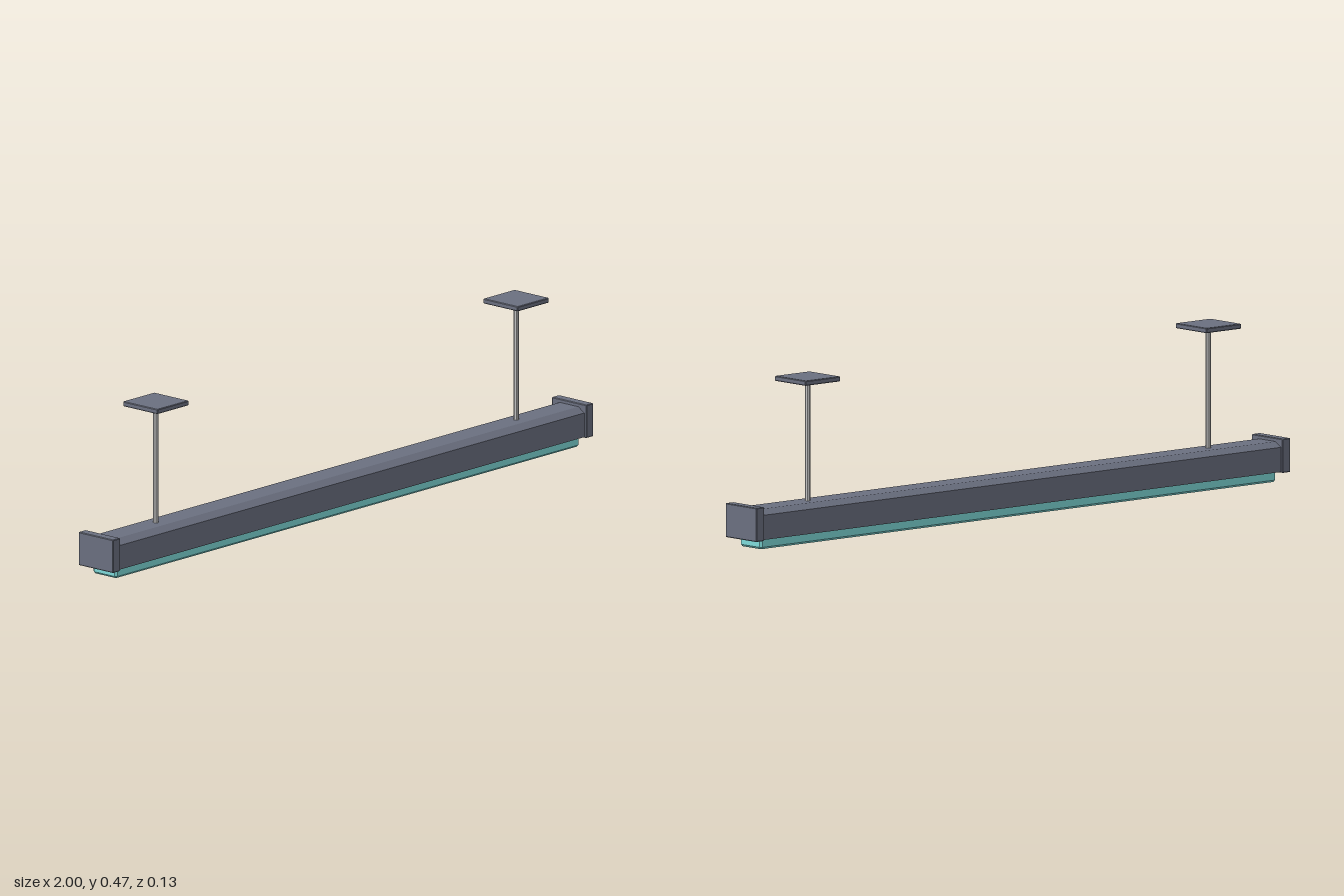
import * as THREE from 'three';
import { ConvexGeometry } from 'three/addons/geometries/ConvexGeometry.js';

const slate = new THREE.MeshStandardMaterial({ color: 0x6b7080, flatShading: true });
const teal = new THREE.MeshStandardMaterial({ color: 0x7fdbda, flatShading: true });
const grey = new THREE.MeshStandardMaterial({ color: 0xcccccc, flatShading: true });

// Box with every edge chamfered by c
function chamferBox(w, h, d, c) {
  const points = [];
  for (const x of [-w / 2, w / 2])
    for (const y of [-h / 2, h / 2])
      for (const z of [-d / 2, d / 2]) {
        const ix = x - Math.sign(x) * c, iy = y - Math.sign(y) * c, iz = z - Math.sign(z) * c;
        points.push(
          new THREE.Vector3(x, iy, iz),
          new THREE.Vector3(ix, y, iz),
          new THREE.Vector3(ix, iy, z)
        );
      }
  return new ConvexGeometry(points);
}

export function createModel() {
  const model = new THREE.Group();
  model.name = 'linearPendantLight';

  function add(name, geometry, material, x, y, z = 0) {
    const mesh = new THREE.Mesh(geometry, material);
    mesh.name = name;
    mesh.position.set(x, y, z);
    model.add(mesh);
  }

  // Long housing: a rectangle with sloped top shoulders, extruded along x
  const profile = new THREE.Shape([
    [-0.058, 0.029], [0.058, 0.029], [0.058, 0.099],
    [0.035, 0.113], [-0.035, 0.113], [-0.058, 0.099],
  ].map(([z, y]) => new THREE.Vector2(z, y)));
  const length = 1.95;
  const housing = new THREE.ExtrudeGeometry(profile, { depth: length, bevelEnabled: false });
  housing.translate(0, 0, -length / 2).rotateY(Math.PI / 2);
  add('housing', housing, slate, 0, 0);

  // Light diffuser, its top sunk into the housing
  add('diffuser', chamferBox(1.93, 0.04, 0.09, 0.006), teal, 0, 0.02);

  // End caps and hanging mounts, mirrored left and right
  for (const [side, s] of [['left', 1], ['right', -1]]) {
    add(side + 'EndCap', chamferBox(0.03, 0.096, 0.131, 0.002), slate, s * 0.985, 0.075);
    add(side + 'Rod', new THREE.CylinderGeometry(0.0075, 0.0075, 0.35, 8), grey, s * 0.75, 0.28);
    add(side + 'CeilingPlate', chamferBox(0.131, 0.014, 0.131, 0.002), slate, s * 0.75, 0.458);
  }
  return model;
}
